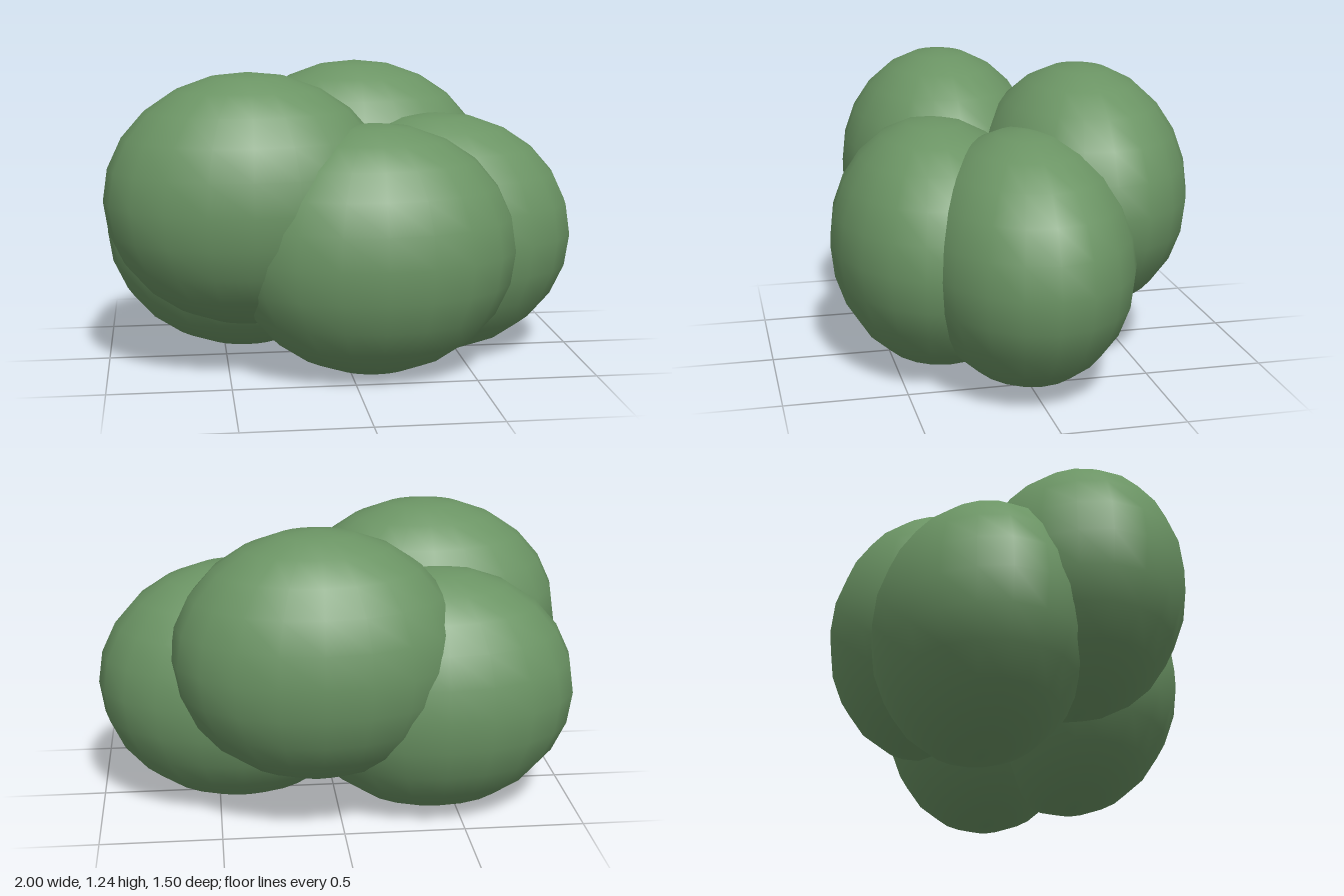
import * as THREE from 'three';

// A bush: five overlapping leafy lobes in an oval ring, alternating low and high.
export function createModel() {
  const bush = new THREE.Group();
  bush.name = 'bush';
  const material = new THREE.MeshStandardMaterial({ color: 0x6b9464 });
  const lobeGeometry = new THREE.SphereGeometry(1, 20, 12);
  lobeGeometry.scale(0.594, 0.52, 0.44);

  const count = 5;
  const ringX = 0.449, ringZ = 0.326, shiftX = -0.043;
  for (let i = 0; i < count; i++) {
    const angle = (i / count) * Math.PI * 2;
    const lobe = new THREE.Mesh(lobeGeometry, material);
    lobe.name = `leafLobe${i + 1}`;
    lobe.position.set(
      Math.cos(angle) * ringX + shiftX,
      i % 2 ? 0.72 : 0.52,
      -Math.sin(angle) * ringZ
    );
    bush.add(lobe);
  }
  return bush;
}
